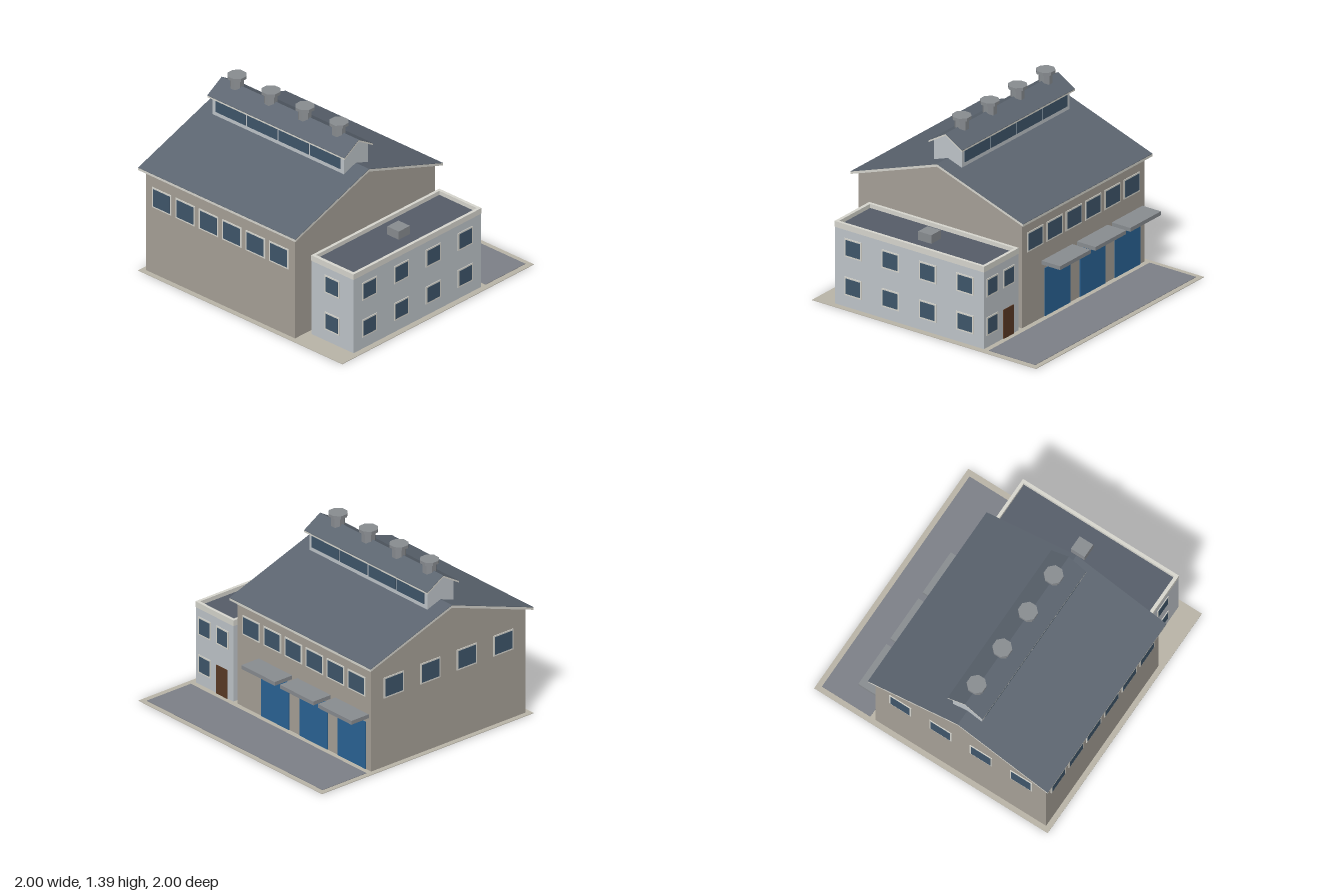
import * as THREE from 'three';

const mat = (color) => new THREE.MeshStandardMaterial({ color, flatShading: true });

export function createModel() {
  const root = new THREE.Group();
  const M = {
    hall: mat(0xa7a198), pale: mat(0xc0c6cb), trim: mat(0xd8d7cf), slate: mat(0x5c6570),
    flat: mat(0x565d69), glass: mat(0x3f566b), ground: mat(0xbab5a8), yard: mat(0x7d8088),
    metal: mat(0x898d91), blue: mat(0x2a6496), brown: mat(0x5a3a25),
  };

  const group = (name, parent = root) => {
    const g = new THREE.Group();
    g.name = name;
    parent.add(g);
    return g;
  };
  const add = (parent, name, geometry, material) => {
    const m = new THREE.Mesh(geometry, material);
    m.name = name;
    parent.add(m);
    return m;
  };
  // Box given by its limits on each axis
  const box = (parent, name, [x0, x1], [y0, y1], [z0, z1], material) =>
    add(parent, name, new THREE.BoxGeometry(x1 - x0, y1 - y0, z1 - z0)
      .translate((x0 + x1) / 2, (y0 + y1) / 2, (z0 + z1) / 2), material);
  // Profile of [z, y] points extruded along x
  const alongX = (parent, name, points, x0, x1, material) => {
    const shape = new THREE.Shape(points.map((p) => new THREE.Vector2(...p)));
    const geo = new THREE.ExtrudeGeometry(shape, { depth: x1 - x0, bevelEnabled: false });
    return add(parent, name, geo.rotateY(-Math.PI / 2).translate(x1, 0, 0), material);
  };
  // Gabled walls centred on z = cz
  const gable = (parent, name, cz, half, base, eave, ridge, x0, x1) =>
    alongX(parent, name, [[cz - half, base], [cz + half, base], [cz + half, eave], [cz, ridge], [cz - half, eave]],
      x0, x1, name === 'hallWalls' ? M.hall : M.pale);
  // Folded roof layer with its top at the given eave and ridge heights
  const fold = (parent, name, cz, half, eave, ridge, t, x0, x1, material) =>
    alongX(parent, name, [[cz - half, eave - t], [cz, ridge - t], [cz + half, eave - t],
      [cz + half, eave], [cz, ridge], [cz - half, eave]], x0, x1, material);
  const roof = (parent, cz, half, eave, ridge, t, x0, x1) => {
    fold(parent, 'roofTrim', cz, half, eave - 0.003, ridge - 0.003, t - 0.003, x0, x1, M.trim);
    fold(parent, 'roofCovering', cz, half, eave, ridge, 0.003, x0, x1, M.slate);
  };
  // Framed window standing on a wall; turn is its heading about y
  const windowAt = (parent, x, y, z, turn, w, h, border = 0.012) => {
    const g = group('window', parent);
    g.position.set(x, y, z);
    g.rotation.y = turn;
    if (border) add(g, 'windowFrame', new THREE.BoxGeometry(w + 2 * border, h + 2 * border, 0.01), M.trim);
    add(g, 'windowGlass', new THREE.BoxGeometry(w, h, 0.014), M.glass);
  };
  const BACK = Math.PI, LEFT = Math.PI / 2, RIGHT = -Math.PI / 2;

  // Ground and loading yard
  box(root, 'ground', [-1, 1], [0, 0.004], [-1, 1], M.ground);
  box(root, 'yard', [-0.96, 0.955], [0.003, 0.007], [-0.96, -0.545], M.yard);

  // Main hall
  const hall = group('hall');
  gable(hall, 'hallWalls', 0.23, 0.73, 0, 0.836, 1.087, -0.96, 0.5);
  roof(hall, 0.23, 0.77, 0.846, 1.11, 0.022, -1, 0.54);
  for (let i = 0; i < 6; i++) {
    const x = -0.805 + i * 0.23;
    windowAt(hall, x, 0.628, 0.96, 0, 0.165, 0.14);
    windowAt(hall, x, 0.655, -0.5, BACK, 0.165, 0.13);
  }
  for (let i = 0; i < 4; i++) windowAt(hall, -0.96, 0.63, -0.287 + i * 0.345, RIGHT, 0.165, 0.14);

  // Loading doors with canopies
  for (const x of [-0.752, -0.337, 0.083]) {
    const dock = group('loadingDock');
    box(dock, 'loadingDoor', [x - 0.15, x + 0.15], [0.005, 0.38], [-0.506, -0.49], M.blue);
    box(dock, 'canopy', [x - 0.182, x + 0.182], [0.42, 0.45], [-0.665, -0.49], M.metal);
  }

  // Raised ridge lantern
  const lantern = group('lantern');
  gable(lantern, 'lanternWalls', 0.23, 0.125, 0.98, 1.22, 1.295, -0.875, 0.41);
  roof(lantern, 0.23, 0.15, 1.221, 1.311, 0.016, -0.905, 0.44);
  for (let i = 0; i < 4; i++) {
    const x = -0.695 + i * 0.309;
    windowAt(lantern, x, 1.147, 0.355, 0, 0.294, 0.092, 0);
    windowAt(lantern, x, 1.147, 0.105, BACK, 0.294, 0.092, 0);
  }

  // Octagonal ventilators on the lantern ridge
  for (let i = 0; i < 4; i++) {
    const vent = group('ventilator');
    vent.position.set(-0.755 + i * 0.333, 0, 0.23);
    vent.rotation.y = Math.PI / 8;
    add(vent, 'ventStem', new THREE.CylinderGeometry(0.052, 0.052, 0.09, 8).translate(0, 1.33, 0), M.metal);
    add(vent, 'ventCap', new THREE.CylinderGeometry(0.073, 0.073, 0.024, 8).translate(0, 1.376, 0), M.metal);
  }

  // Flat-roofed annex
  const annex = group('annex');
  box(annex, 'annexWalls', [0.542, 0.953], [0, 0.605], [-0.5, 0.832], M.pale);
  const rim = new THREE.Shape();
  rim.moveTo(0.54, -0.834).lineTo(0.955, -0.834).lineTo(0.955, 0.502).lineTo(0.54, 0.502).closePath();
  const opening = new THREE.Path();
  opening.moveTo(0.564, -0.808).lineTo(0.564, 0.478).lineTo(0.931, 0.478).lineTo(0.931, -0.808).closePath();
  rim.holes.push(opening);
  add(annex, 'parapet', new THREE.ExtrudeGeometry(rim, { depth: 0.045, bevelEnabled: false })
    .rotateX(-Math.PI / 2).translate(0, 0.605, 0), M.trim);
  box(annex, 'annexRoof', [0.56, 0.935], [0.6, 0.618], [-0.482, 0.812], M.flat);
  box(annex, 'roofUnit', [0.69, 0.803], [0.61, 0.685], [0.083, 0.2], M.metal);
  for (const y of [0.168, 0.47]) {
    windowAt(annex, 0.745, y, 0.832, 0, 0.12, 0.12);
    for (let i = 0; i < 4; i++) windowAt(annex, 0.953, y, 0.667 - i * 0.333, LEFT, 0.13, 0.12);
    windowAt(annex, 0.855, y, -0.5, BACK, 0.11, 0.12);
  }
  windowAt(annex, 0.66, 0.47, -0.5, BACK, 0.11, 0.12);
  box(annex, 'annexDoor', [0.605, 0.725], [0.004, 0.23], [-0.507, -0.49], M.brown);

  return root;
}
